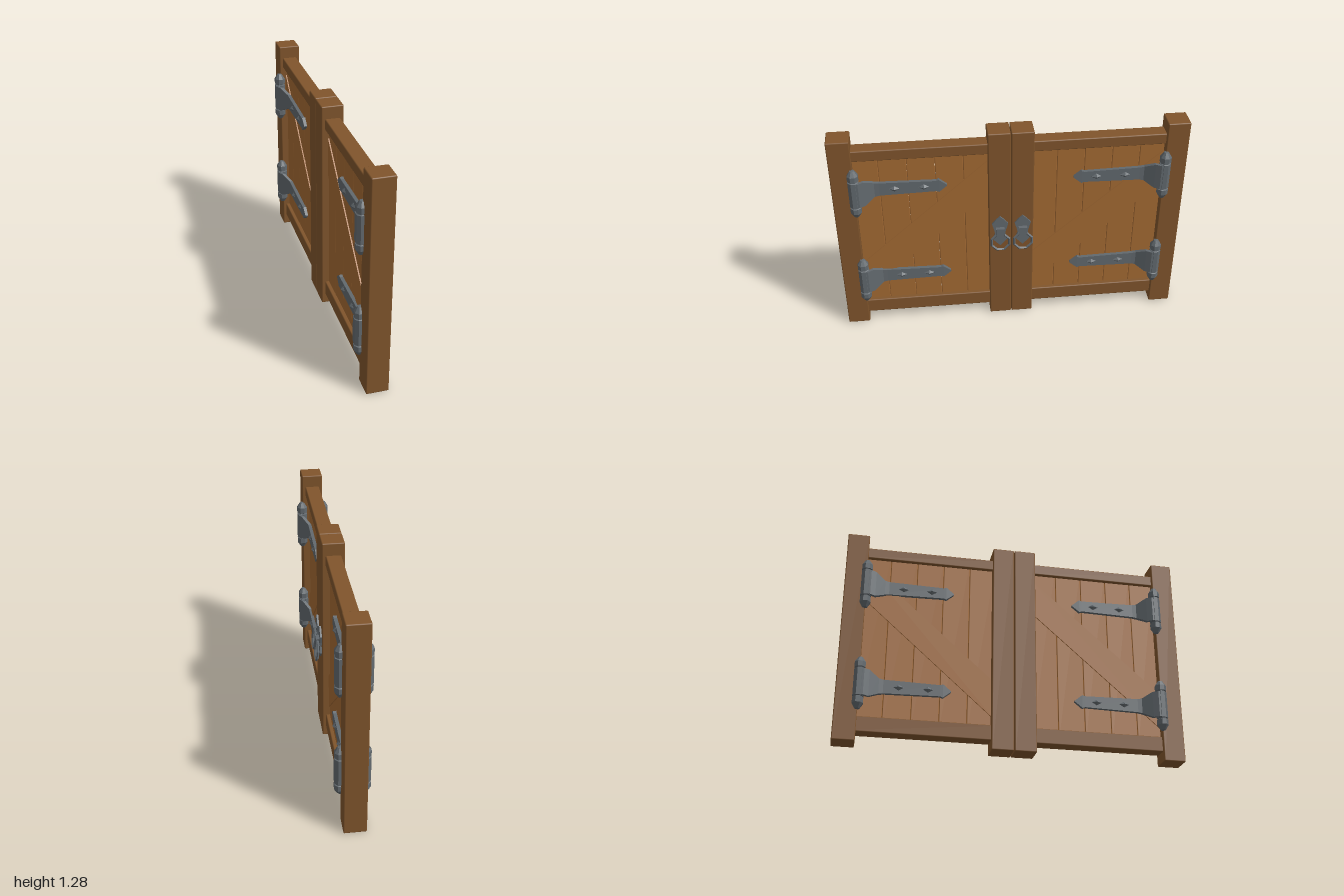
import * as THREE from 'three';
import { RoundedBoxGeometry } from 'three/addons/geometries/RoundedBoxGeometry.js';

const mat = (name, color, flatShading = false) => {
  const m = new THREE.MeshStandardMaterial({ color, flatShading });
  m.name = name;
  return m;
};

export function createModel() {
  const darkWood = mat('darkWood', 0x80552c);
  const lightWood = mat('lightWood', 0xa46a33);
  const iron = mat('iron', 0x62696e, true);

  const root = new THREE.Group();
  root.name = 'doubleGate';
  const body = new THREE.Group();
  body.name = 'gateBody';
  body.position.x = -0.003;
  root.add(body);

  const add = (parent, name, geo, material, x = 0, y = 0, z = 0) => {
    const m = new THREE.Mesh(geo, material);
    m.name = name;
    m.position.set(x, y, z);
    parent.add(m);
    return m;
  };
  const beam = (w, h, d, r = 0.006) => new RoundedBoxGeometry(w, h, d, 1, r);

  // Hinge strap: rectangular sections [z, half height, outer x] from barrel to tip
  const strapGeometry = () => {
    const stations = [
      [0.885, 0.078, 0.096], [0.85, 0.078, 0.096], [0.82, 0.078, 0.078], [0.765, 0.046, 0.042],
      [0.74, 0.041, 0.04], [0.42, 0.034, 0.04], [0.405, 0.04, 0.04], [0.36, 0.003, 0.038],
    ];
    const pos = [], idx = [];
    stations.forEach(([z, h, x], i) => {
      const xi = x - 0.02;
      pos.push(x, -h, z, x, h, z, xi, h, z, xi, -h, z);
      if (!i) return;
      const p = (i - 1) * 4, q = i * 4;
      for (let k = 0; k < 4; k++) {
        const n = (k + 1) % 4;
        idx.push(p + k, q + k, q + n, p + k, q + n, p + n);
      }
    });
    const e = (stations.length - 1) * 4;
    idx.push(0, 1, 2, 0, 2, 3, e, e + 2, e + 1, e, e + 3, e + 2);
    const g = new THREE.BufferGeometry();
    g.setAttribute('position', new THREE.Float32BufferAttribute(pos, 3));
    g.setIndex(idx);
    const flat = g.toNonIndexed();
    flat.computeVertexNormals();
    return flat;
  };

  // Hinge barrel with collars and pointed caps
  const half = [[0.033, 0.08], [0.027, 0.083], [0.027, 0.087], [0.033, 0.09], [0.033, 0.122], [0.014, 0.152], [0, 0.155]];
  const profile = [
    ...half.slice().reverse().map(([r, y]) => new THREE.Vector2(r, -y)),
    ...half.map(([r, y]) => new THREE.Vector2(r, y)),
  ];
  const barrelGeo = new THREE.LatheGeometry(profile, 8, Math.PI / 8);
  const strapGeo = strapGeometry();
  const rivetGeo = new THREE.OctahedronGeometry(1).scale(0.014, 0.018, 0.03);

  // Diagonal brace outline (drawn in -z, y), running through to the posts
  const brace = new THREE.Shape([
    [-0.39, 0.19], [0.39, 0.885], [0.39, 1.11], [-0.39, 0.415],
  ].map(([a, b]) => new THREE.Vector2(a, b)));
  const braceGeo = new THREE.ExtrudeGeometry(brace, { depth: 0.054, bevelEnabled: false });
  braceGeo.translate(0, 0, -0.027).rotateY(Math.PI / 2);

  // Handle back plate
  const plateSide = [[0.022, 0.715], [0.047, 0.685], [0.034, 0.64], [0.03, 0.615], [0.042, 0.575]];
  const plate = new THREE.Shape([
    [0, 0.735], ...plateSide, [0, 0.53], ...plateSide.slice().reverse().map(([a, b]) => [-a, b]),
  ].map(([a, b]) => new THREE.Vector2(a, b)));
  const plateGeo = new THREE.ExtrudeGeometry(plate, { depth: 0.012, bevelEnabled: false });
  plateGeo.rotateY(Math.PI / 2);
  const ringGeo = new THREE.TorusGeometry(0.055, 0.008, 4, 8).rotateZ(Math.PI / 8).rotateY(Math.PI / 2);

  for (const s of [1, -1]) {
    const leaf = new THREE.Group();
    leaf.name = s > 0 ? 'frontLeaf' : 'backLeaf';
    body.add(leaf);

    // Posts and rails
    for (const [name, z] of [['outerPost', 0.9365], ['meetingPost', 0.0655]])
      add(leaf, name, beam(0.127, 1.283, 0.127), darkWood, 0, 0.6415, s * z);
    add(leaf, 'bottomRail', beam(0.086, 0.09, 0.78), darkWood, 0, 0.105, s * 0.5);
    add(leaf, 'topRail', beam(0.086, 0.065, 0.78), darkWood, 0, 1.1775, s * 0.5);

    // Five vertical planks and the diagonal brace
    for (let i = -2; i <= 2; i++)
      add(leaf, 'plank', beam(0.04, 1.06, 0.156, 0.004), lightWood, 0, 0.645, s * 0.5 + i * 0.157);
    add(leaf, 'brace', braceGeo, lightWood, 0, 0, s * 0.5);

    // Two strap hinges on each face
    for (const sx of [1, -1]) for (const y of [0.333, 0.954]) {
      const hinge = new THREE.Group();
      hinge.name = 'hinge';
      hinge.position.y = y;
      hinge.rotation.set(s < 0 ? Math.PI : 0, 0, sx < 0 ? Math.PI : 0);
      add(hinge, 'hingeBarrel', barrelGeo, iron, 0.067, 0, 0.875);
      add(hinge, 'hingeStrap', strapGeo, iron);
      for (const z of [0.655, 0.49]) add(hinge, 'rivet', rivetGeo, iron, 0.041, 0, z);
      leaf.add(hinge);
    }

    // Ring handle: back plate, folded staple and tilted ring
    const handle = new THREE.Group();
    handle.name = 'handle';
    handle.position.z = s * 0.066;
    add(handle, 'handlePlate', plateGeo, iron, 0.062, 0, 0);
    for (const y of [0.618, 0.66])
      add(handle, 'stapleArm', new THREE.BoxGeometry(0.024, 0.004, 0.05), iron, 0.083, y, 0);
    add(handle, 'stapleFront', new THREE.BoxGeometry(0.004, 0.046, 0.05), iron, 0.094, 0.639, 0);
    add(handle, 'ring', ringGeo, iron, 0.09, 0.567, 0).rotation.z = 0.08;
    leaf.add(handle);
  }
  return root;
}
